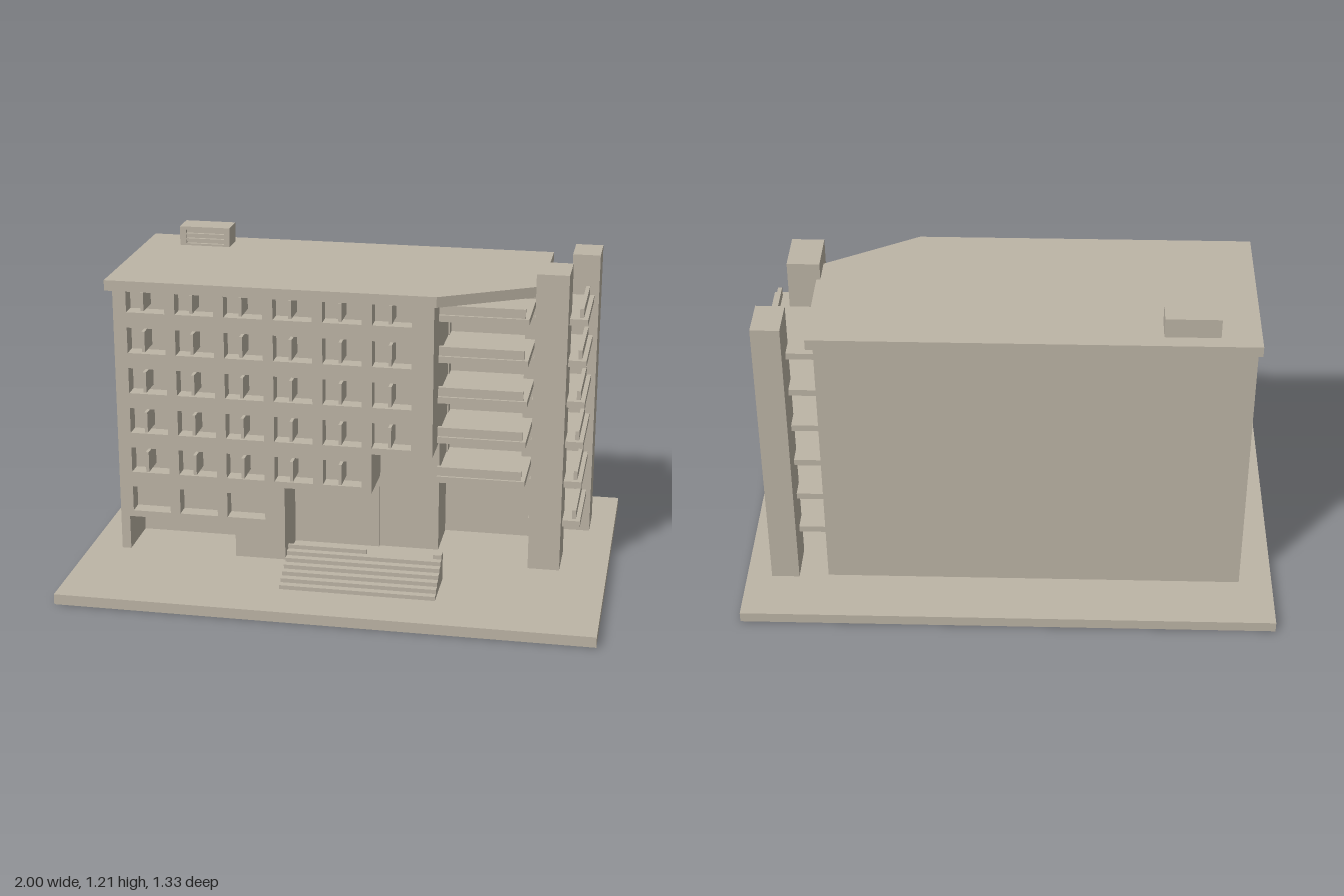
import * as THREE from 'three';

export function createModel() {
  const model = new THREE.Group();
  model.name = 'apartmentBuilding';
  const concrete = new THREE.MeshStandardMaterial({ color: 0xbdb5a6 });
  concrete.name = 'warm concrete';

  const add = (name, geometry, parent = model) => {
    const mesh = new THREE.Mesh(geometry, concrete);
    mesh.name = name;
    parent.add(mesh);
    return mesh;
  };
  const group = (name) => {
    const g = new THREE.Group();
    g.name = name;
    model.add(g);
    return g;
  };
  // Box given by its limits on each axis
  const box = (name, x0, x1, y0, y1, z0, z1, parent) =>
    add(name, new THREE.BoxGeometry(x1 - x0, y1 - y0, z1 - z0)
      .translate((x0 + x1) / 2, (y0 + y1) / 2, (z0 + z1) / 2), parent);
  const outline = (pts) => pts.map(([x, y]) => new THREE.Vector2(x, y));
  // Upright wall layer with rectangular holes [x0, x1, y0, y1]
  const wall = (name, pts, holes, z0, z1, parent) => {
    const shape = new THREE.Shape(outline(pts));
    for (const [x0, x1, y0, y1] of holes)
      shape.holes.push(new THREE.Path(outline([[x0, y0], [x0, y1], [x1, y1], [x1, y0]])));
    return add(name, new THREE.ExtrudeGeometry(shape, { depth: z1 - z0, bevelEnabled: false })
      .translate(0, 0, z0), parent);
  };

  const ground = 0.04, eaves = 1.095, pitch = 0.16;

  // Ground slab
  box('groundSlab', -1, 1, 0, ground, -0.667, 0.667);

  // Main block: solid rear, then a front part with garage and lobby cut out
  box('rearBlock', -0.875, 0.34, ground, eaves, -0.44, 0);
  const facade = [
    [-0.875, ground], [-0.84, ground], [-0.84, 0.175], [-0.42, 0.175], [-0.42, ground],
    [-0.225, ground], [-0.225, 0.335], [0.11, 0.335], [0.11, 0.495], [0.34, 0.495],
    [0.34, eaves], [-0.875, eaves],
  ];
  wall('frontBlock', facade, [], 0, 0.14);
  box('lobbyPanel', -0.225, 0.11, ground, 0.335, 0, 0.01);

  // Window recesses and their projecting fins
  const holes = [];
  const fins = group('windowFins');
  for (let row = 0; row < 6; row++) {
    const columns = [3, 5, 6, 6, 6, 6][row];
    const y = 0.2 + row * pitch;
    const top = Math.min(y + 0.1, 1.09);
    for (let col = 0; col < columns; col++) {
      const x = -0.75 + col * 0.187;
      holes.push([x - 0.074, x + 0.074, y, top]);
      if (row > 0) box('windowFin', x - 0.006, x + 0.006, y + 0.02, top, 0.14, 0.24, fins);
    }
  }
  wall('windowFacade', facade, holes, 0.14, 0.2);

  // Set-back wing with a balcony door recess on each floor
  box('wing', 0.34, 0.69, ground, eaves, -0.44, -0.25);
  const doors = [];
  for (let i = 0; i < 5; i++) {
    const y = 0.375 + i * pitch;
    doors.push([0.345, 0.635, y, Math.min(y + 0.11, 1.09)]);
  }
  wall('wingFacade', [[0.34, ground], [0.69, ground], [0.69, eaves], [0.34, eaves]], doors, -0.25, -0.2);

  // Balconies in the front corner and along the right side
  const balconies = group('balconies');
  for (let i = 0; i < 6; i++) {
    const y = 0.19 + i * pitch;
    box('sideSlab', 0.69, 0.887, y, y + 0.025, -0.365, 0.037, balconies);
    box('sideRail', 0.855, 0.87, y + 0.025, y + 0.06, -0.295, 0.015, balconies);
    if (i === 0) continue;
    box('frontSlab', 0.34, 0.675, y, y + 0.025, -0.2, 0.075, balconies);
    box('frontRail', 0.34, 0.66, y + 0.025, y + 0.06, 0.05, 0.065, balconies);
  }

  // Corner towers
  box('frontTower', 0.70, 0.82, ground, 1.2, -0.06, 0.113);
  box('rearTower', 0.80, 0.905, ground, 1.172, -0.453, -0.296);

  // Roof plate with a slanted corner
  const roofShape = new THREE.Shape(outline([
    [-0.89, -0.25], [0.355, -0.25], [0.715, -0.04], [0.715, 0.455], [-0.89, 0.455],
  ]));
  add('roof', new THREE.ExtrudeGeometry(roofShape, { depth: 0.04, bevelEnabled: false })
    .rotateX(-Math.PI / 2).translate(0, eaves, 0));

  // Roof vent with slots in its front
  const vent = group('roofVent');
  box('ventBody', -0.745, -0.545, 1.13, 1.21, -0.4, -0.312, vent);
  wall('ventGrille', [[-0.745, 1.13], [-0.545, 1.13], [-0.545, 1.21], [-0.745, 1.21]],
    [0, 1, 2].map((i) => [-0.72, -0.567, 1.143 + i * 0.02, 1.157 + i * 0.02]), -0.312, -0.3, vent);

  // Entrance steps
  const stairs = group('entranceStairs');
  const rise = 0.0157;
  for (let i = 0; i < 6; i++)
    box('step', -0.19, 0.395, ground + i * rise, ground + (i + 1) * rise, 0.305, 0.47 - i * 0.0277, stairs);
  box('topStep', -0.19, 0.11, ground, 0.15, 0.293, 0.305, stairs);
  box('stairPost', 0.363, 0.395, ground, 0.15, 0.27, 0.305, stairs);

  return model;
}
